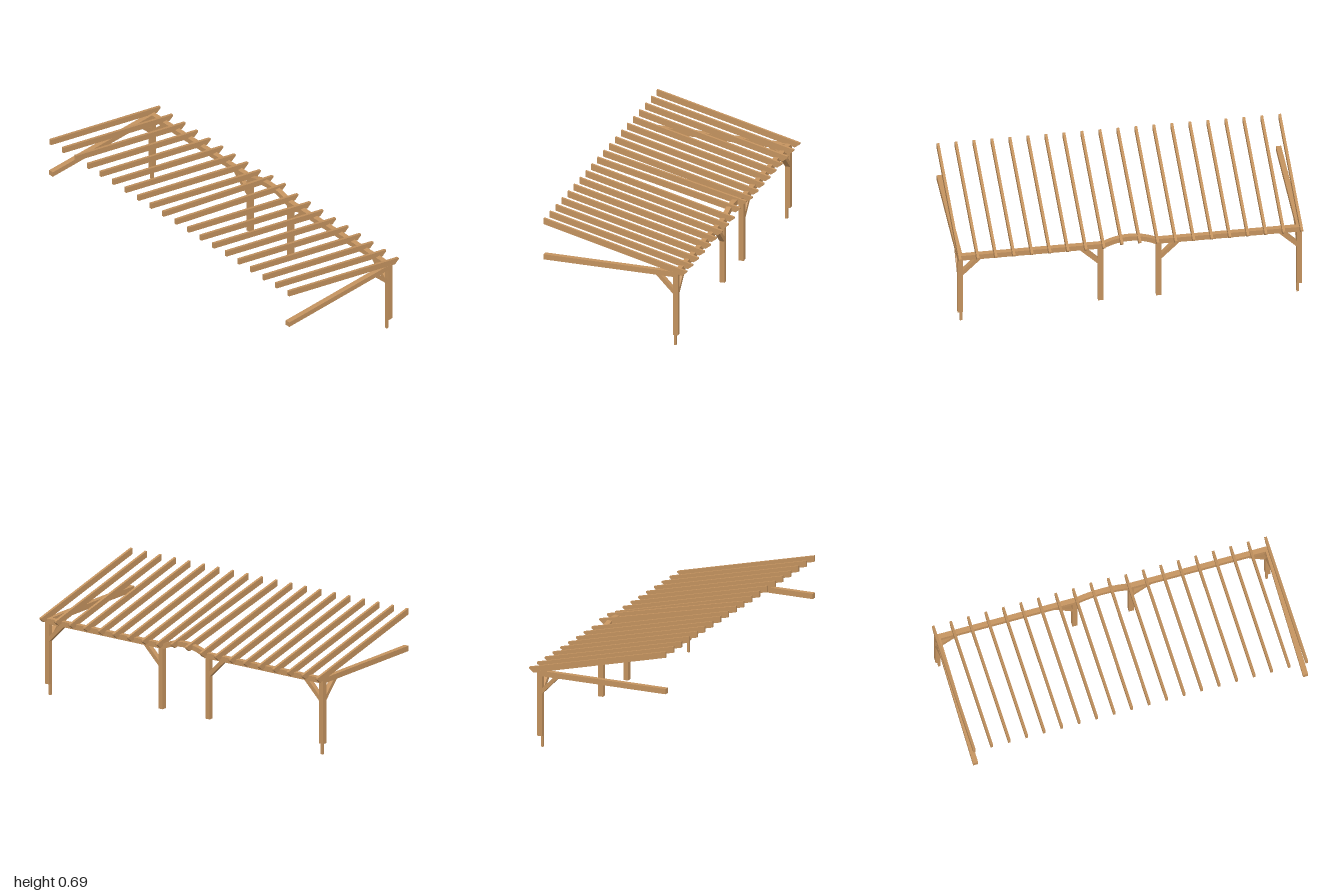
import * as THREE from 'three';

export function createModel() {
  const group = new THREE.Group();
  const wood = new THREE.MeshStandardMaterial({ color: 0xc4935f });
  wood.name = 'wood';

  const add = (name, geometry) => {
    const mesh = new THREE.Mesh(geometry, wood);
    mesh.name = name;
    group.add(mesh);
    return mesh;
  };

  // Box given by its limits on each axis
  const box = (name, x0, x1, y0, y1, z0, z1) => {
    const mesh = add(name, new THREE.BoxGeometry(Math.abs(x1 - x0), y1 - y0, z1 - z0));
    mesh.position.set((x0 + x1) / 2, (y0 + y1) / 2, (z0 + z1) / 2);
  };

  // Outline in (x, y) extruded from z0 to z1
  const plateXY = (name, points, z0, z1) => {
    const shape = new THREE.Shape(points.map(([x, y]) => new THREE.Vector2(x, y)));
    const g = new THREE.ExtrudeGeometry(shape, { depth: z1 - z0, bevelEnabled: false });
    add(name, g.translate(0, 0, z0));
  };

  // Outline in (z, y) extruded along x, centred on x
  const plateZY = (name, points, x, width) => {
    const shape = new THREE.Shape(points.map(([z, y]) => new THREE.Vector2(-z, y)));
    const g = new THREE.ExtrudeGeometry(shape, { depth: width, bevelEnabled: false });
    add(name, g.translate(0, 0, -width / 2).rotateY(Math.PI / 2).translate(x, 0, 0));
  };

  const back = -0.382, front = -0.352;   // depth of the post row
  const low = 0.43, high = 0.462;        // underside and top of the beams
  const postFoot = 0.068;

  for (const s of [-1, 1]) {
    const side = s < 0 ? 'right' : 'left';

    // Posts, with a tenon under the corner ones
    box(side + 'CornerPost', s * 0.97, s, postFoot, low, back, front);
    box(side + 'Tenon', s * 0.97, s * 0.985, 0, postFoot, -0.366, front);
    box(side + 'InnerPost', s * 0.153, s * 0.184, postFoot, low, back, front);

    // Beams along the back and towards the front
    box(side + 'BackBeam', s * 0.153, s, low, high, back, front);
    box(side + 'SideBeam', s * 0.97, s, low, high, front, 0.434);

    // Diagonal braces
    const brace = (x, d) => plateXY(side + 'Brace',
      [[x, 0.325], [x + d * 0.105, low], [x + d * 0.07, low], [x, 0.358]], back, front);
    brace(s * 0.97, -s);
    brace(s * 0.184, s);
    plateZY(side + 'SideBrace',
      [[front, 0.325], [-0.25, low], [-0.282, low], [front, 0.358]], s * 0.985, 0.03);
  }

  // Arched beam over the middle bay
  const arch = new THREE.Shape();
  const a0 = Math.PI / 2 - 0.5, a1 = Math.PI / 2 + 0.5;
  arch.absarc(0, 0.154, 0.343, a0, a1, false);
  arch.absarc(0, 0.154, 0.313, a1, a0, true);
  add('archBeam', new THREE.ExtrudeGeometry(arch,
    { depth: front - back, bevelEnabled: false, curveSegments: 16 }).translate(0, 0, back));

  // Sloping rafters; the two over the arch are lifted at the tail
  const count = 20;
  for (let i = 0; i < count; i++) {
    const x = -0.992 + (1.984 * i) / (count - 1);
    const lift = Math.abs(x) < 0.1 ? 0.017 : 0;
    plateZY('rafter', [
      [0.434, 0.65], [0.434, 0.687], [-0.434, 0.475 + lift],
      [-0.434, 0.466 + lift], [-0.405, 0.444 + lift],
    ], x, 0.015);
  }

  return group;
}
